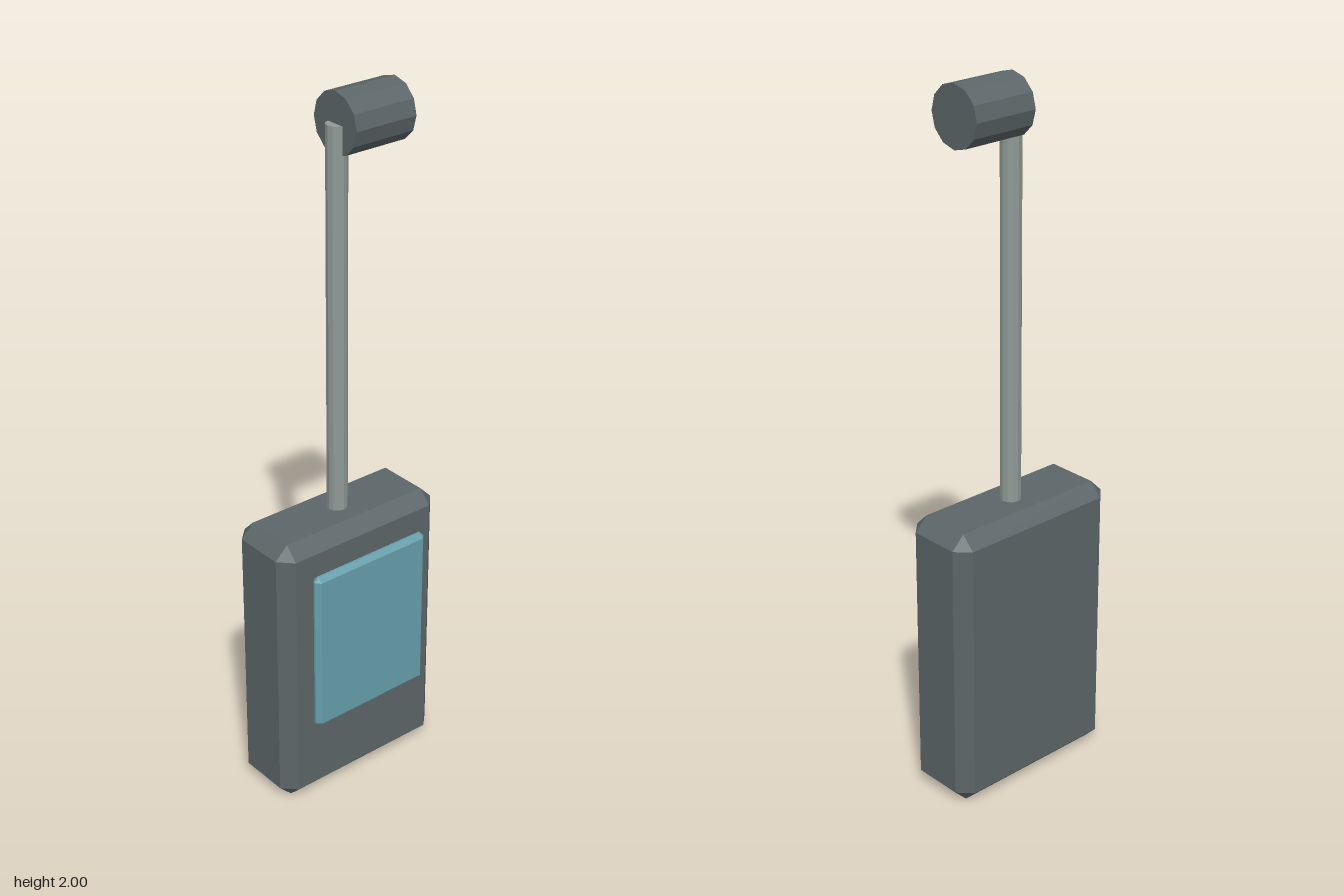
import * as THREE from 'three';
import { ConvexGeometry } from 'three/addons/geometries/ConvexGeometry.js';

// Box with every edge and corner cut off by c
function chamferBox(w, h, d, c) {
  const points = [];
  for (const x of [-1, 1]) for (const y of [-1, 1]) for (const z of [-1, 1]) {
    for (let axis = 0; axis < 3; axis++) {
      const inset = [c, c, c];
      inset[axis] = 0;
      points.push(new THREE.Vector3(
        x * (w / 2 - inset[0]), y * (h / 2 - inset[1]), z * (d / 2 - inset[2])));
    }
  }
  return new ConvexGeometry(points);
}

export function createModel() {
  const model = new THREE.Group();
  model.name = 'handheldDevice';
  const flat = (color) => new THREE.MeshStandardMaterial({ color, flatShading: true });
  const dark = flat(0x5c6668), metal = flat(0x909a96), glass = flat(0x669fab);

  const add = (name, geometry, material, x, y, z) => {
    const mesh = new THREE.Mesh(geometry, material);
    mesh.name = name;
    mesh.position.set(x, y, z);
    model.add(mesh);
    return mesh;
  };

  const axisZ = -0.021; // shared depth of body, rod and head

  // Body and the screen floating just in front of it
  add('body', chamferBox(0.544, 0.83, 0.224, 0.038), dark, 0, 0.415, axisZ);
  add('screen', chamferBox(0.384, 0.486, 0.032, 0.013), glass, 0, 0.495, 0.114);

  // Antenna rod, running down into the body
  const rodBottom = 0.78, rodTop = 1.917;
  add('rod', new THREE.CylinderGeometry(0.029, 0.029, rodTop - rodBottom, 12), metal,
    -0.002, (rodTop + rodBottom) / 2, axisZ);

  // Sideways cylinder head on the rod tip
  const head = add('head', new THREE.CylinderGeometry(0.083, 0.083, 0.192, 12), dark,
    0.089, 1.917, axisZ);
  head.rotation.z = Math.PI / 2;

  return model;
}
